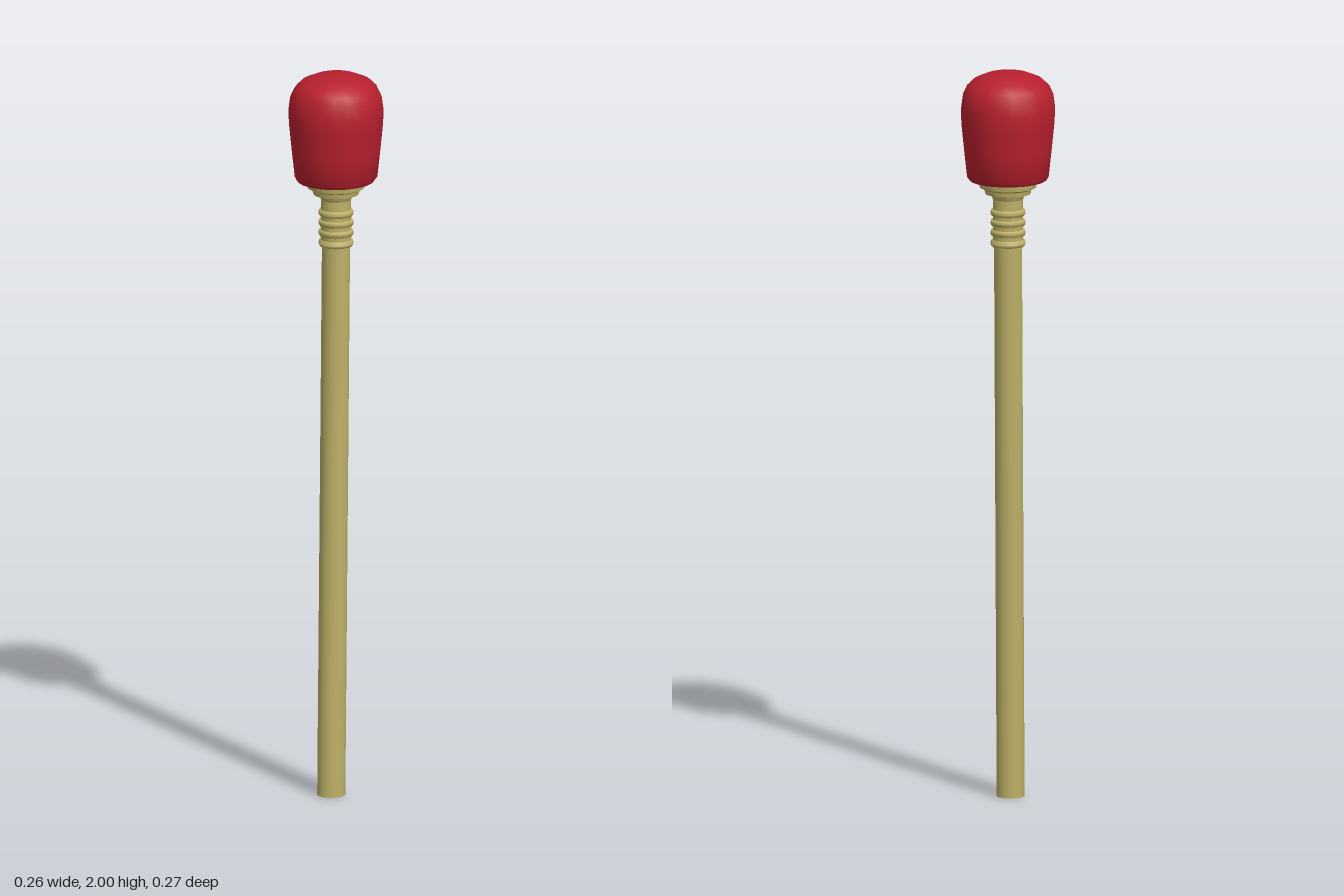
import * as THREE from 'three';
import { toCreasedNormals } from 'three/addons/utils/BufferGeometryUtils.js';

const SIDES = 20;

// Revolve a bottom-to-top list of [radius, height] points, keeping sharp edges
function lathe(points, crease = 0.6) {
  const profile = points.map(([r, y]) => new THREE.Vector2(r, y));
  return toCreasedNormals(new THREE.LatheGeometry(profile, SIDES), crease);
}

export function createModel() {
  const model = new THREE.Group();
  const red = new THREE.MeshStandardMaterial({ color: 0xb8202e });
  red.name = 'red';
  const tan = new THREE.MeshStandardMaterial({ color: 0xbdb067 });
  tan.name = 'tan';

  function add(name, geometry, material) {
    const mesh = new THREE.Mesh(geometry, material);
    mesh.name = name;
    model.add(mesh);
    return mesh;
  }

  // Rounded head, slightly deeper than wide
  const head = add('head', lathe([
    [0, 1.715], [0.085, 1.715], [0.09, 1.706], [0.104, 1.706], [0.111, 1.716],
    [0.119, 1.79], [0.126, 1.86], [0.128, 1.9], [0.123, 1.938], [0.112, 1.962],
    [0.093, 1.981], [0.058, 1.996], [0.02, 2], [0, 2],
  ]), red);
  head.scale.z = 1.05;

  // Stepped collar under the head
  add('collar', lathe([
    [0, 1.65], [0.04, 1.65], [0.046, 1.664], [0.062, 1.668], [0.064, 1.68],
    [0.077, 1.686], [0.079, 1.7], [0.07, 1.716], [0, 1.716],
  ]), tan);

  // Neck with four raised rings
  add('neck', lathe([[0, 1.52], [0.041, 1.52], [0.041, 1.655], [0, 1.655]]), tan);
  for (let i = 0; i < 4; i++) {
    const y = 1.532 + i * 0.028;
    add('neckRing', lathe([
      [0.038, y - 0.01], [0.045, y - 0.008], [0.048, y], [0.045, y + 0.008], [0.038, y + 0.01],
    ], 1), tan);
  }

  // Long handle, sheared so its level foot sits forward of the neck
  const handle = new THREE.CylinderGeometry(0.038, 0.038, 1.53, SIDES);
  handle.translate(0, 0.765, 0);
  const pos = handle.attributes.position;
  for (let i = 0; i < pos.count; i++) {
    pos.setZ(i, pos.getZ(i) + 0.038 * (1 - pos.getY(i) / 1.53));
  }
  handle.computeVertexNormals();
  add('handle', toCreasedNormals(handle, 0.6), tan);

  return model;
}
